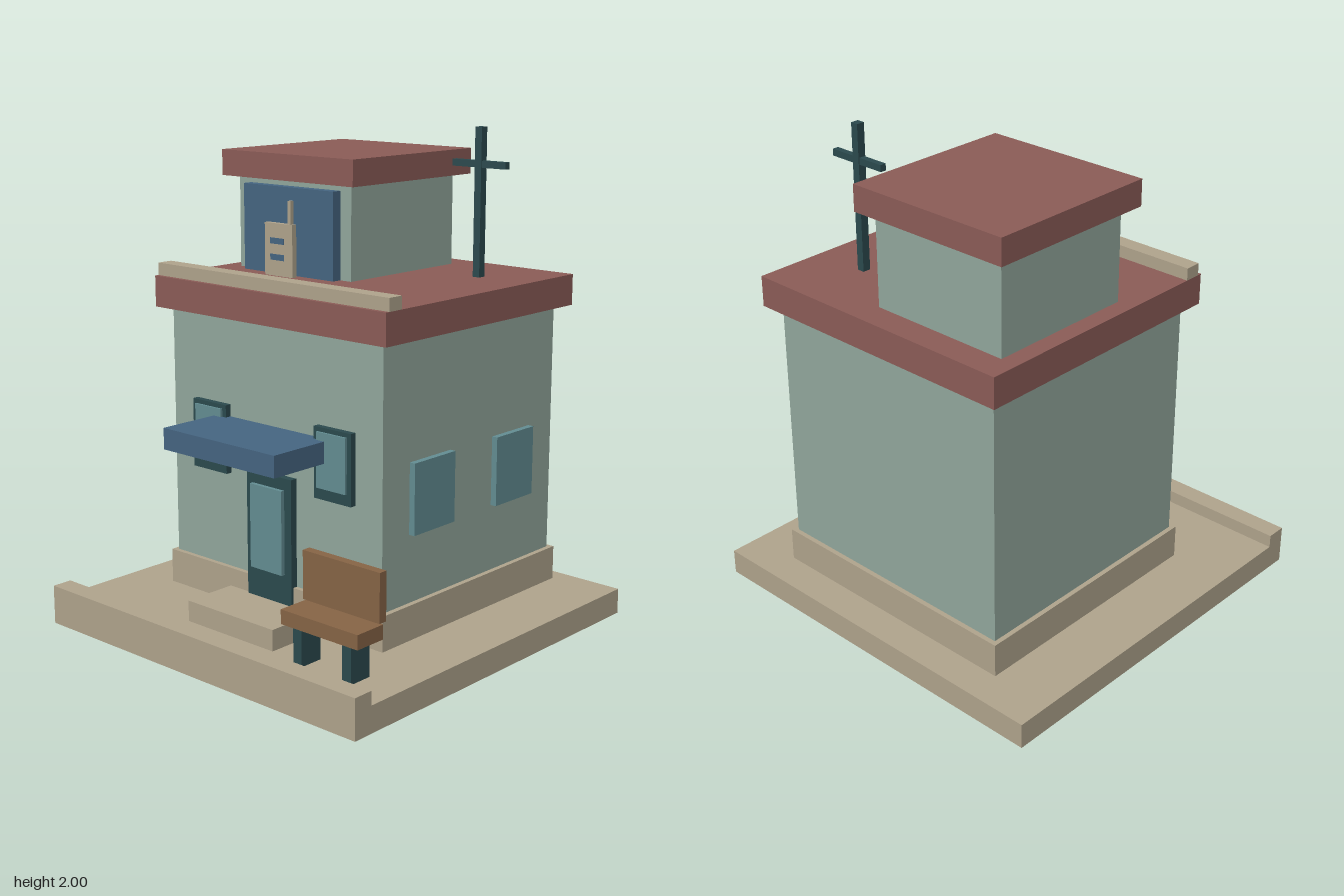
import * as THREE from 'three';

const paint = (name, color) => {
  const m = new THREE.MeshStandardMaterial({ color });
  m.name = name;
  return m;
};

export function createModel() {
  const stone = paint('sandstone', 0xaea28b);
  const wall = paint('sage wall', 0x91a69b);
  const roof = paint('brick red', 0x8a5b56);
  const blue = paint('slate blue', 0x456480);
  const glass = paint('teal glass', 0x628c91);
  const dark = paint('dark teal', 0x2b494d);
  const wood = paint('wood', 0x856345);

  const model = new THREE.Group();
  model.name = 'building';

  // Box given by its low and high limits on each axis
  const box = (name, material, [x0, x1], [y0, y1], [z0, z1], parent = model) => {
    const mesh = new THREE.Mesh(new THREE.BoxGeometry(x1 - x0, y1 - y0, z1 - z0), material);
    mesh.position.set((x0 + x1) / 2, (y0 + y1) / 2, (z0 + z1) / 2);
    mesh.name = name;
    parent.add(mesh);
    return mesh;
  };
  const group = (name) => {
    const g = new THREE.Group();
    g.name = name;
    model.add(g);
    return g;
  };

  // Ground slab, kerb and plinth
  box('groundSlab', stone, [-0.82, 0.82], [0, 0.105], [-0.82, 0.82]);
  box('kerb', stone, [-0.82, 0.82], [0.105, 0.16], [0.735, 0.82]);
  box('plinth', stone, [-0.577, 0.573], [0.125, 0.265], [-0.70, 0.39]);
  box('doorStep', stone, [-0.23, 0.23], [0.105, 0.19], [0.39, 0.62]);

  // Main storey
  box('mainWalls', wall, [-0.557, 0.552], [0.2, 1.285], [-0.68, 0.37]);
  box('mainRoof', roof, [-0.608, 0.604], [1.285, 1.41], [-0.732, 0.418]);
  box('parapet', stone, [-0.608, 0.604], [1.41, 1.46], [0.332, 0.4]);

  // Upper room
  box('upperWalls', wall, [-0.535, 0.075], [1.41, 1.785], [-0.617, 0.01]);
  box('upperRoof', roof, [-0.586, 0.127], [1.785, 1.89], [-0.67, 0.06]);
  box('upperPanel', blue, [-0.47, 0.018], [1.41, 1.76], [0.01, 0.052]);

  // Small rooftop radio with an aerial
  const radio = group('radio');
  box('radioBody', stone, [-0.306, -0.155], [1.41, 1.62], [0.077, 0.1], radio);
  box('radioAerial', stone, [-0.182, -0.167], [1.62, 1.713], [0.08, 0.097], radio);
  for (const y of [1.55, 1.485]) {
    box('radioSlot', blue, [-0.275, -0.2], [y - 0.012, y + 0.012], [0.1, 0.102], radio);
  }

  // Roof mast
  const mast = group('mast');
  box('mastPole', dark, [0.348, 0.38], [1.41, 2], [-0.442, -0.408], mast);
  box('mastCrossbar', dark, [0.234, 0.494], [1.842, 1.869], [-0.438, -0.412], mast);

  // Door and front windows
  box('doorFrame', dark, [-0.12, 0.118], [0.14, 0.7], [0.37, 0.4]);
  box('doorGlass', glass, [-0.087, 0.082], [0.312, 0.652], [0.39, 0.417]);
  for (const x of [-0.33, 0.327]) {
    box('windowFrame', dark, [x - 0.093, x + 0.093], [0.655, 0.934], [0.37, 0.396]);
    box('windowGlass', glass, [x - 0.073, x + 0.073], [0.7, 0.917], [0.38, 0.405]);
  }
  box('awning', blue, [-0.297, 0.294], [0.8, 0.885], [0.37, 0.668]);

  // Windows on the left wall
  for (const z of [0.097, -0.406]) {
    box('sideWindow', glass, [0.55, 0.577], [0.535, 0.815], [z - 0.12, z + 0.12]);
  }

  // Bench
  const bench = group('bench');
  box('benchSeat', wood, [0.326, 0.7], [0.255, 0.312], [0.535, 0.673], bench);
  box('benchBack', wood, [0.326, 0.7], [0.319, 0.51], [0.519, 0.555], bench);
  for (const x of [0.392, 0.632]) {
    box('benchLeg', dark, [x - 0.021, x + 0.021], [0.105, 0.255], [0.555, 0.655], bench);
  }

  return model;
}
